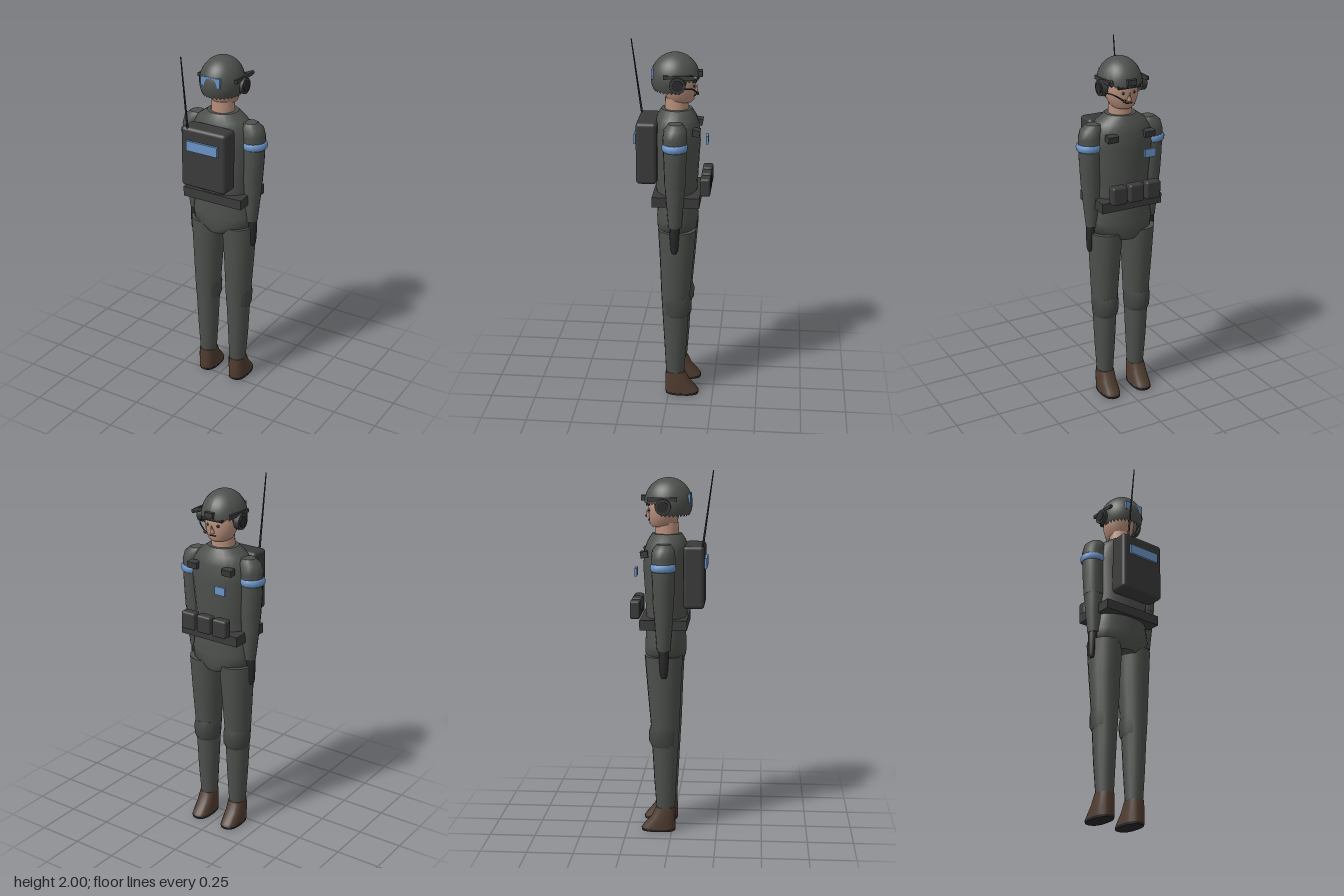
import * as THREE from 'three';
import { RoundedBoxGeometry } from 'three/addons/geometries/RoundedBoxGeometry.js';

const mat = (color) => new THREE.MeshStandardMaterial({ color, side: THREE.DoubleSide });
const M = {
  cloth: mat(0x4d504c), knee: mat(0x444744), dark: mat(0x3a3a3a), black: mat(0x272729),
  boot: mat(0x4f3c30), skin: mat(0xb58d7a), blue: mat(0x6a94c6),
};

// Closed loft through elliptical rings [y, cx, cz, rx, rz], listed bottom to top; n < 1 squares the ring
function loft(rings, sides = 16, n = 1) {
  const pos = [], idx = [];
  const bend = (v) => Math.sign(v) * Math.abs(v) ** n;
  for (const [y, cx, cz, rx, rz] of rings) {
    for (let i = 0; i < sides; i++) {
      const a = (i / sides) * Math.PI * 2;
      pos.push(cx + rx * bend(Math.sin(a)), y, cz + rz * bend(Math.cos(a)));
    }
  }
  for (let r = 0; r < rings.length - 1; r++) {
    for (let i = 0; i < sides; i++) {
      const a = r * sides + i, b = r * sides + ((i + 1) % sides);
      idx.push(a, b, b + sides, a, b + sides, a + sides);
    }
  }
  // Flat caps with their own vertices
  for (const end of [0, rings.length - 1]) {
    const [y, cx, cz] = rings[end], c = pos.length / 3;
    pos.push(cx, y, cz);
    for (let i = 0; i < sides; i++) {
      const k = (end * sides + i) * 3;
      pos.push(pos[k], pos[k + 1], pos[k + 2]);
    }
    for (let i = 0; i < sides; i++) {
      const p = c + 1 + i, q = c + 1 + ((i + 1) % sides);
      if (end) idx.push(c, p, q); else idx.push(c, q, p);
    }
  }
  const g = new THREE.BufferGeometry();
  g.setAttribute('position', new THREE.Float32BufferAttribute(pos, 3));
  g.setIndex(idx);
  g.computeVertexNormals();
  return g;
}

// Helmet shell: a dome whose rim is raised over the face
function helmetShell() {
  const g = new THREE.SphereGeometry(1, 32, 18), p = g.attributes.position, uv = g.attributes.uv;
  for (let i = 0; i < p.count; i++) {
    const a = uv.getX(i) * Math.PI * 2, t = 1 - uv.getY(i);
    const face = THREE.MathUtils.smoothstep(Math.cos(a), 0.25, 0.6);
    const th = t * THREE.MathUtils.lerp(2.13, 1.62, face);
    p.setXYZ(i, Math.sin(a) * Math.sin(th) * 0.118, Math.cos(th) * 0.135, -Math.cos(a) * Math.sin(th) * 0.13);
  }
  // The dome winds the opposite way round from the sphere it came from
  const ix = g.index.array;
  for (let i = 0; i < ix.length; i += 3) [ix[i], ix[i + 1]] = [ix[i + 1], ix[i]];
  g.computeVertexNormals();
  const nrm = g.attributes.normal, v = new THREE.Vector3();
  let out = 0;
  for (let i = 0; i < p.count; i++) out += v.fromBufferAttribute(p, i).dot(new THREE.Vector3().fromBufferAttribute(nrm, i));
  if (out < 0) {
    for (let i = 0; i < ix.length; i += 3) [ix[i], ix[i + 1]] = [ix[i + 1], ix[i]];
    g.computeVertexNormals();
  }
  return g;
}

export function createModel() {
  const root = new THREE.Group();
  root.name = 'soldier';
  const add = (name, geo, m, x = 0, y = 0, z = 0) => {
    const mesh = new THREE.Mesh(geo, m);
    mesh.name = name;
    mesh.position.set(x, y, z);
    root.add(mesh);
    return mesh;
  };
  const box = (w, h, d) => new THREE.BoxGeometry(w, h, d);

  // Trunk
  add('torso', loft([
    [1.16, 0, -0.035, 0.16, 0.11], [1.3, 0, -0.035, 0.162, 0.117], [1.48, 0, -0.04, 0.178, 0.123],
    [1.57, 0, -0.037, 0.172, 0.118], [1.615, 0, -0.033, 0.14, 0.106], [1.655, 0, -0.033, 0.085, 0.082],
  ], 24), M.cloth);
  add('pelvis', loft([
    [0.957, 0, -0.04, 0.085, 0.1], [1.0, 0, -0.04, 0.175, 0.112],
    [1.06, 0, -0.04, 0.182, 0.113], [1.18, 0, -0.038, 0.162, 0.107],
  ], 24), M.cloth);
  add('belt', box(0.36, 0.055, 0.255), M.dark, 0, 1.178, -0.0425);
  for (const x of [-0.102, -0.001, 0.1])
    add('beltPouch', new RoundedBoxGeometry(0.087, 0.1, 0.055, 3, 0.012), M.dark, x, 1.254, -0.1975);
  add('chestPatch', box(0.065, 0.045, 0.013), M.blue, -0.093, 1.458, -0.193);

  // Limbs, mirrored
  for (const s of [1, -1]) {
    const x = s * 0.1;
    add('leg', loft([
      [0.11, s * 0.098, -0.035, 0.045, 0.05], [0.3, s * 0.1, -0.037, 0.057, 0.062],
      [0.5, x, -0.037, 0.066, 0.073], [0.6, x, -0.037, 0.073, 0.079],
      [0.8, x, -0.042, 0.084, 0.091], [1.0, s * 0.098, -0.045, 0.096, 0.104],
    ]), M.cloth);
    add('kneePad', loft([
      [0.49, x, -0.04, 0.066, 0.073], [0.515, x, -0.045, 0.072, 0.081],
      [0.57, x, -0.044, 0.075, 0.083], [0.605, x, -0.038, 0.073, 0.079],
    ]), M.knee);
    add('boot', loft([
      [0.012, x, -0.075, 0.053, 0.095], [0.03, x, -0.07, 0.053, 0.09],
      [0.08, x, -0.048, 0.051, 0.068], [0.137, s * 0.099, -0.035, 0.047, 0.053],
    ], 20, 0.8), M.boot);
    add('sole', loft([[0, x, -0.075, 0.052, 0.094], [0.013, x, -0.075, 0.054, 0.096]], 20, 0.8), M.black);

    add('upperArm', loft([
      [1.27, s * 0.182, -0.04, 0.054, 0.056], [1.4, s * 0.187, -0.04, 0.058, 0.06],
      [1.54, s * 0.187, -0.04, 0.062, 0.065], [1.585, s * 0.177, -0.04, 0.06, 0.06], [1.613, s * 0.165, -0.04, 0.038, 0.038],
    ], 14), M.cloth);
    add('forearm', loft([
      [1.04, s * 0.177, -0.04, 0.034, 0.036], [1.18, s * 0.181, -0.04, 0.046, 0.047], [1.278, s * 0.182, -0.04, 0.053, 0.055],
    ], 14), M.cloth);
    add('glove', loft([
      [0.89, s * 0.19, -0.037, 0.01, 0.012], [0.91, s * 0.19, -0.038, 0.016, 0.02],
      [0.99, s * 0.188, -0.038, 0.022, 0.026], [1.05, s * 0.18, -0.04, 0.029, 0.026],
    ], 12), M.black);
    const band = add('armBand', new THREE.TorusGeometry(0.061, 0.009, 8, 14), M.blue, s * 0.191, 1.492, -0.04);
    band.rotation.x = Math.PI / 2;
    band.scale.z = 2.3;
    const pad = add('chestClip', box(0.06, 0.035, 0.04), M.dark, s * 0.11, 1.553, -0.147);
    pad.rotation.x = -0.15;

    // Headset and side rail on the helmet
    const cup = add('earCup', new THREE.CylinderGeometry(0.043, 0.043, 0.03, 16), M.dark, s * 0.118, 1.805, -0.047);
    cup.rotation.z = Math.PI / 2;
    add('earCupCover', new THREE.CylinderGeometry(0.03, 0.03, 0.008, 16), M.black, s * 0.133, 1.805, -0.047).rotation.z = Math.PI / 2;
    add('helmetRail', box(0.014, 0.02, 0.16), M.dark, s * 0.112, 1.845, -0.052);
    add('eye', new THREE.SphereGeometry(0.008, 10, 8), M.black, s * 0.032, 1.782, -0.125);
    add('ear', new THREE.SphereGeometry(0.018, 10, 8), M.skin, s * 0.09, 1.785, -0.045);
  }

  // Head
  add('neck', new THREE.CylinderGeometry(0.062, 0.066, 0.09, 16), M.skin, 0, 1.67, -0.033);
  add('head', loft([
    [1.692, 0, -0.055, 0.05, 0.06], [1.705, 0, -0.053, 0.066, 0.074], [1.75, 0, -0.05, 0.086, 0.082],
    [1.8, 0, -0.046, 0.09, 0.088], [1.86, 0, -0.04, 0.08, 0.08], [1.9, 0, -0.035, 0.045, 0.045],
  ], 20), M.skin);
  const nose = add('nose', new THREE.ConeGeometry(0.014, 0.045, 8), M.skin, 0, 1.765, -0.137);
  nose.rotation.x = -0.25;
  add('mouth', box(0.036, 0.005, 0.008), M.black, 0, 1.727, -0.13);
  add('helmet', helmetShell(), M.cloth, 0, 1.82, -0.025);
  add('helmetMarker', box(0.115, 0.05, 0.013), M.blue, 0, 1.845, 0.0905);
  add('visorMount', box(0.05, 0.03, 0.035), M.dark, 0, 1.845, -0.153);
  add('browBar', box(0.13, 0.014, 0.02), M.black, 0, 1.815, -0.132);
  const lamp = add('helmetLamp', new THREE.CylinderGeometry(0.011, 0.011, 0.055, 12), M.dark, 0.102, 1.845, -0.127);
  lamp.rotation.set(-Math.PI / 2, 0, -0.4);
  const boom = new THREE.CatmullRomCurve3([
    new THREE.Vector3(0.115, 1.785, -0.07), new THREE.Vector3(0.088, 1.78, -0.12), new THREE.Vector3(0.035, 1.745, -0.146),
  ]);
  add('microphoneBoom', new THREE.TubeGeometry(boom, 12, 0.004, 6), M.black);
  add('microphone', new THREE.SphereGeometry(0.009, 10, 8), M.black, 0.035, 1.745, -0.146);

  // Backpack with radio antenna
  add('backpack', new RoundedBoxGeometry(0.272, 0.34, 0.113, 4, 0.02), M.dark, -0.001, 1.43, 0.1185);
  add('backpackPanel', box(0.19, 0.055, 0.014), M.blue, 0, 1.503, 0.181);
  const antenna = add('antenna', new THREE.CylinderGeometry(0.003, 0.006, 0.425, 8), M.black, -0.098, 1.79, 0.1915);
  antenna.rotation.x = 0.134;
  return root;
}
